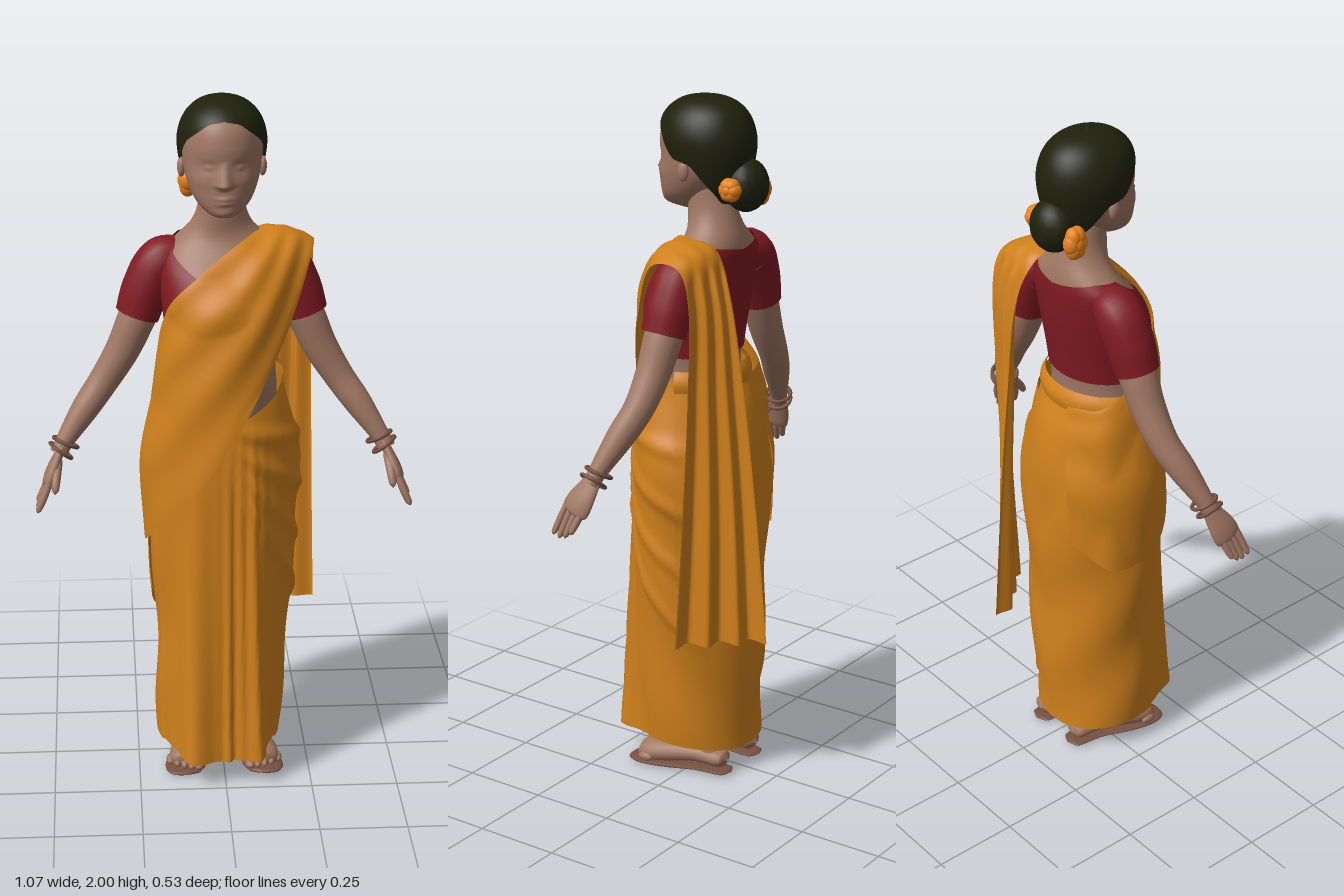
import * as THREE from 'three';
import { mergeVertices } from 'three/addons/utils/BufferGeometryUtils.js';

const mat = (name, color) => new THREE.MeshStandardMaterial({ name, color, side: THREE.DoubleSide });
const skin = mat('skin', 0xa07763), cloth = mat('sari cloth', 0xcf801c), red = mat('blouse red', 0x801a22);
const dark = mat('hair', 0x1f210c), orange = mat('flower orange', 0xe8821c), brown = mat('bangle brown', 0x765041);
const { PI, abs, exp, sin, cos, min, max } = Math;
const bell = (d, w) => exp(-((d / w) ** 2));
const V = (x, y, z) => new THREE.Vector3(x, y, z);

// Smooth grid surface from a function of u and v in 0..1
function grid(fn, nu, nv) {
  const pos = [], idx = [];
  for (let j = 0; j <= nv; j++) for (let i = 0; i <= nu; i++) pos.push(...fn(i / nu, j / nv));
  for (let j = 0; j < nv; j++) for (let i = 0; i < nu; i++) {
    const a = j * (nu + 1) + i, b = a + nu + 1;
    idx.push(a, a + 1, b + 1, a, b + 1, b);
  }
  let g = new THREE.BufferGeometry();
  g.setAttribute('position', new THREE.Float32BufferAttribute(pos, 3));
  g.setIndex(idx);
  g = mergeVertices(g, 1e-5);
  g.computeVertexNormals();
  return g;
}

// Cross-section [half width, front z, back z, centre x] at height y, smoothly interpolated
function section(L, y) {
  let i = 0;
  while (i < L.length - 2 && y > L[i + 1][0]) i++;
  const h = L[i + 1][0] - L[i][0], t = min(1, max(0, (y - L[i][0]) / h));
  const slope = (k, c) => {
    const a = L[max(0, k - 1)], b = L[min(L.length - 1, k + 1)];
    return ((b[c] ?? 0) - (a[c] ?? 0)) / (b[0] - a[0]);
  };
  return [1, 2, 3, 4].map(c => {
    const p = L[i][c] ?? 0, q = L[i + 1][c] ?? 0;
    return p + (q - p) * t * t * (3 - 2 * t) + h * (slope(i, c) * t * (1 - t) ** 2 - slope(i + 1, c) * t * t * (1 - t));
  });
}

// Surface wrapped round stacked cross-sections, between heights lo(angle) and hi(angle); angle 0 is the front
function shell(L, lo, hi, { off = 0, bump, from = -PI, to = PI, nu = 72, nv = 40, ease = t => t } = {}) {
  return grid((u, v) => {
    const a = from + (to - from) * u, w = a > PI ? a - 2 * PI : a;
    const y = lo(a) + (hi(a) - lo(a)) * ease(v);
    const [rx, zf, zb, cx] = section(L, y), x0 = cx + rx * sin(a);
    const p = off + (bump ? bump(w, y, x0) : 0);
    return [x0 + p * sin(a), y, (zf + zb) / 2 + ((zf - zb) / 2 + p) * cos(a)];
  }, nu, nv);
}

// Round limb through [x, y, z, radius] points, squashed by sx and sy
function limb(pts, { sx = 1, sy = 1, ref = V(0, 0, 1), nu = 16, nv = 24 } = {}) {
  const path = new THREE.CatmullRomCurve3(pts.map(p => V(p[0], p[1], p[2])));
  const rad = new THREE.CatmullRomCurve3(pts.map((p, i) => V(p[3], i, 0)));
  return grid((u, v) => {
    const c = path.getPoint(v), t = path.getTangent(v), r = max(0.0005, rad.getPoint(v).x);
    const n = t.clone().cross(ref).normalize(), m = n.clone().cross(t);
    c.addScaledVector(n, r * sx * cos(u * 2 * PI)).addScaledVector(m, r * sy * sin(u * 2 * PI));
    return [c.x, c.y, c.z];
  }, nu, nv);
}

// Piecewise-linear lookup
function ramp(table, x) {
  for (let i = 1; i < table.length; i++) {
    const [a, p] = table[i - 1], [b, q] = table[i];
    if (x <= b) return p + (q - p) * max(0, (x - a) / (b - a));
  }
  return table.at(-1)[1];
}

// Cross-sections: y, half width, front z, back z, centre x
const TORSO = [[1.05, .15, .155, -.09], [1.18, .152, .165, -.08], [1.25, .148, .165, -.08], [1.32, .153, .17, -.088],
  [1.42, .163, .165, -.104], [1.5, .168, .125, -.113], [1.56, .16, .072, -.116], [1.6, .122, .048, -.113],
  [1.63, .09, .045, -.105], [1.68, .068, .05, -.09], [1.76, .062, .05, -.065]];
const SKIRT = [[.07, .18, .232, -.148, -.015], [.2, .185, .222, -.15, -.01], [.5, .195, .21, -.15], [.75, .212, .203, -.155],
  [.95, .221, .2, -.16], [1.1, .195, .196, -.13], [1.2, .172, .183, -.1], [1.25, .163, .178, -.092]];
const HEAD = [[1.672, .004, .07, .06], [1.685, .032, .122, .04], [1.7, .056, .136, 0], [1.73, .081, .14, -.04], [1.78, .101, .14, -.09],
  [1.83, .109, .137, -.115], [1.88, .111, .138, -.125], [1.93, .1, .124, -.115], [1.97, .07, .085, -.08], [1.985, .03, .04, -.04]];
const HAIR = [[1.68, .06, .05, -.09], [1.75, .095, .08, -.12], [1.8, .114, .12, -.135], [1.86, .124, .141, -.145], [1.9, .122, .139, -.141],
  [1.94, .108, .127, -.126], [1.97, .084, .1, -.1], [1.99, .05, .06, -.06], [2, .002, .002, -.002]];

// Skirt folds: front pleats, swags on the left hip and soft diagonal creases
function folds(a, y, x) {
  const low = max(0, 1 - y / 1.1);
  let d = 0;
  if (abs(a) < 1.2) d += low * (.05 * bell(x + .085, .04) + .058 * bell(x - .08, .032) + .012 * bell(x - .01, .012) - .008);
  if (abs(a) < .7) d += .007 * sin(x * 190) * bell(x - .05, .05) * min(1, low * 4);
  if (a > .05 && a < 2.4) for (let k = 0; k < 4; k++)
    d += .011 * bell(y - (1.12 - (.07 + .13 * k) * Math.sqrt(a)), .022) * min(1, a * 3) * min(1, (2.4 - a) * 2);
  if (abs(a) > .7) d += .005 * sin(16 * y + 3 * abs(a)) * min(1, abs(a) - .7);
  return d;
}

// Keeps draped cloth outside the body
function pushOut(x, y, z) {
  for (const [L, a, b] of [[TORSO, 1.15, 1.58], [SKIRT, .3, 1.22]]) if (y > a && y < b) {
    const [rx, zf, zb, cx] = section(L, y), c = (zf + zb) / 2, o = .016;
    const k = Math.hypot((x - cx) / (rx + o), (z - c) / ((zf - zb) / 2 + o));
    if (k < 1 && k > .3) { x = cx + (x - cx) / k; z = c + (z - c) / k; }
  }
  return [x, y, z];
}

// Sari end: round the right hip, up across the chest, over the left shoulder and down the back
// (inner edge, middle, outer edge)
function drape() {
  const rows = [
    [[-.05, 1.2, -.11], [-.08, 1.05, -.14], [-.11, .78, -.145]],
    [[-.15, 1.22, -.07], [-.19, 1.06, -.08], [-.21, .7, -.07]],
    [[-.18, 1.3, .03], [-.205, 1.08, .05], [-.215, .72, .06]],
    [[-.155, 1.42, .1], [-.15, 1.2, .15], [-.12, .86, .19]],
    [[-.08, 1.51, .12], [-.04, 1.32, .19], [.01, 1.05, .215]],
    [[0, 1.57, .09], [.06, 1.42, .17], [.12, 1.24, .16]],
    [[.06, 1.605, .05], [.13, 1.52, .115], [.195, 1.4, .095]],
    [[.1, 1.613, -.02], [.18, 1.608, .01], [.255, 1.565, 0]],
    [[.1, 1.595, -.1], [.18, 1.595, -.1], [.262, 1.565, -.09]],
    [[.11, 1.48, -.15], [.185, 1.48, -.145], [.26, 1.48, -.115]],
    [[.1, 1.2, -.19], [.175, 1.2, -.155], [.257, 1.2, -.11]],
    [[.09, .85, -.225], [.17, .85, -.165], [.258, .85, -.09]],
    [[.08, .46, -.255], [.165, .46, -.165], [.262, .46, -.065]]];
  const lines = [0, 1, 2].map(k => new THREE.CatmullRomCurve3(rows.map(r => V(...r[k]))));
  return grid((u, v) => {
    const [a, m, b] = lines.map(l => l.getPoint(v));
    const p = new THREE.QuadraticBezierCurve3(a, m.clone().multiplyScalar(2).addScaledVector(a, -.5).addScaledVector(b, -.5), b).getPoint(u);
    const [x, y, z] = pushOut(p.x, p.y, p.z), back = max(0, v - .65) / .35, turn = min(1, back * 5);
    const w = (.004 + .018 * back) * cos(u * PI * 6);
    return [x + w * .65 * turn, y, z + w * (z < 0 && v < .3 ? -.5 : 1 - 1.75 * turn)];
  }, 60, 108);
}

// Face relief: nose, eyes, lips and chin
function face(a, y, x) {
  if (abs(a) > 1.2) return 0;
  const t = y > 1.778 ? max(0, 1 - (y - 1.778) / .065) : max(0, 1 - (1.778 - y) / .014);
  const ex = abs(x) - .044;
  return .028 * t * bell(x, .01 + .009 * t) - .007 * bell(ex, .022) * bell(y - 1.826, .014) + .006 * bell(ex, .015) * bell(y - 1.825, .008)
    + .006 * bell(x, .024) * (bell(y - 1.741, .006) + bell(y - 1.728, .006)) + .005 * bell(x, .03) * bell(y - 1.698, .012)
    + .003 * bell(abs(x) - .065, .025) * bell(y - 1.785, .02);
}

export function createModel() {
  const model = new THREE.Group();
  const add = (name, geo, m, parent = model) => {
    const mesh = new THREE.Mesh(geo, m);
    mesh.name = name;
    parent.add(mesh);
    return mesh;
  };
  const ball = (name, m, [x, y, z], [sx, sy, sz], parent) => {
    const b = add(name, new THREE.SphereGeometry(1, 18, 12), m, parent);
    b.position.set(x, y, z);
    b.scale.set(sx, sy, sz);
  };

  // Head, hair and bun
  add('head', shell(HEAD, () => 1.672, () => 1.985, { bump: face, nu: 100, nv: 76 }), skin);
  const hairline = [[0, 1.95], [.4, 1.942], [.95, 1.892], [1.27, 1.832], [1.7, 1.82], [2, 1.76], [2.4, 1.71], [PI, 1.7]];
  add('hair', shell(HAIR, a => ramp(hairline, abs(a)), () => 2, { ease: t => sin(t * PI / 2) }), dark);
  ball('hairBun', dark, [-.01, 1.757, -.125], [.07, .075, .061]);

  // Flowers beside the bun
  for (const [x, y, z, s, tall] of [[.066, 1.755, -.122, 1, 1], [-.09, 1.733, -.115, 1.05, 1.4]]) {
    const flower = new THREE.Group();
    flower.name = 'hairFlower';
    model.add(flower);
    for (let i = 0; i < 7; i++) {
      const c = i * 2 * PI / 6, r = i < 6 ? .013 * s : 0;
      ball('petal', orange, [x, y + tall * r * sin(c), z + r * cos(c)], [(i < 6 ? .023 : .027) * s, .021 * s * tall, .021 * s], flower);
    }
  }

  // Body, blouse and sari
  add('bodyAndNeck', shell(TORSO, () => 1.06, () => 1.75), skin);
  const neckline = [[0, 1.48], [.5, 1.515], [.9, 1.555], [1.3, 1.595], [2, 1.6], [PI, 1.578]];
  add('blouse', shell(TORSO, () => 1.275, a => ramp(neckline, abs(a)), { off: .007 }), red);
  const waist = a => a < 0 ? 1.22 : ramp([[0, 1.12], [.3, 1.12], [1.1, 1.19], [1.8, 1.22], [PI, 1.22]], a);
  add('skirt', shell(SKIRT, a => .075 + .02 * sin(a) ** 2, waist, { bump: folds, nu: 150, nv: 84 }), cloth);
  add('backWrap', shell(SKIRT, a => ramp([[.6 * PI, .14], [PI, .24], [1.55 * PI, .56]], a), () => 1.18,
    { bump: folds, off: .008, from: .6 * PI, to: 1.55 * PI, nu: 70, nv: 60 }), cloth);
  add('waistRoll', shell(SKIRT, () => 1.18, () => 1.24, { off: .002, from: .6 * PI, to: 1.4 * PI, nv: 12,
    bump: (a, y) => .01 * sin((y - 1.18) / .06 * PI) }), cloth);
  add('sariDrape', drape(), cloth);

  // Arms, hands, ears and feet on both sides
  for (const s of [1, -1]) {
    const side = new THREE.Group();
    side.name = s > 0 ? 'leftLimbs' : 'rightLimbs';
    model.add(side);
    const put = (name, pts, m, opt) => add(name, limb(pts.map(([x, ...r]) => [x * s, ...r]), opt), m, side);
    put('sleeve', [[.1, 1.54, -.03, .05], [.165, 1.525, -.03, .068], [.21, 1.45, -.025, .069], [.238, 1.37, -.02, .063]], red);
    put('arm', [[.17, 1.5, -.03, .05], [.235, 1.37, -.02, .054], [.28, 1.27, -.015, .049], [.335, 1.18, -.005, .043],
      [.39, 1.105, .02, .039], [.452, 1.015, .052, .026], [.468, .985, .062, .026]], skin, { nu: 24, nv: 40 });
    put('palm', [[.456, 1.01, .054, .024], [.472, .975, .067, .034], [.489, .935, .085, .044], [.499, .905, .097, .04], [.503, .895, .101, .004]], skin, { sx: .42 });
    for (let i = 0; i < 4; i++) {
      const z = .066 + i * .02, l = [.8, .95, 1, .92][i];
      put('finger', [[.495, .92, z, .01], [.512, .92 - .045 * l, z + .012, .0105], [.527, .92 - .08 * l, z + .02, .008],
        [.53, .92 - .088 * l, z + .021, .001]], skin, { nu: 10, nv: 12 });
    }
    put('thumb', [[.47, .97, .08, .014], [.474, .94, .118, .013], [.478, .905, .142, .01], [.479, .893, .146, .001]], skin, { nu: 10, nv: 12 });
    for (const k of [0, 1]) {
      const bangle = add('bangle', new THREE.TorusGeometry(.037, .0055, 8, 32), brown, side);
      bangle.position.set(s * (.447 + .014 * k), 1.015 - .022 * k, .05 + .008 * k);
      bangle.quaternion.setFromUnitVectors(V(0, 0, 1), V(s * (.4 + .25 * k), -.85, .2).normalize());
    }
    ball('ear', skin, [s * .112, 1.8, .002], [.012, .028, .017], side);

    // Foot, toes and sandal sole
    const flat = { ref: V(0, 1, 0), nu: 20 };
    put('ankle', [[.07, .3, -.05, .045], [.07, .12, -.055, .036], [.074, .05, -.065, .038]], skin);
    put('foot', [[.074, .045, -.125, .004], [.075, .046, -.11, .034], [.084, .052, -.03, .039], [.1, .045, .05, .047],
      [.112, .036, .11, .05], [.116, .03, .14, .04], [.116, .028, .148, .004]], skin, { ...flat, sy: .72 });
    for (let i = 0; i < 5; i++)
      ball('toe', skin, [s * (.076 + .021 * i), .026, .152 - .0024 * i * i], [i ? .011 : .015, .013, .024], side);
    put('sandalSole', [[.074, .01, -.137, .003], [.075, .01, -.12, .034], [.084, .01, -.03, .04], [.106, .01, .07, .056],
      [.116, .01, .14, .058], [.112, .01, .172, .04], [.11, .01, .183, .003]], brown, { ...flat, sy: .17 });
  }
  return model;
}
